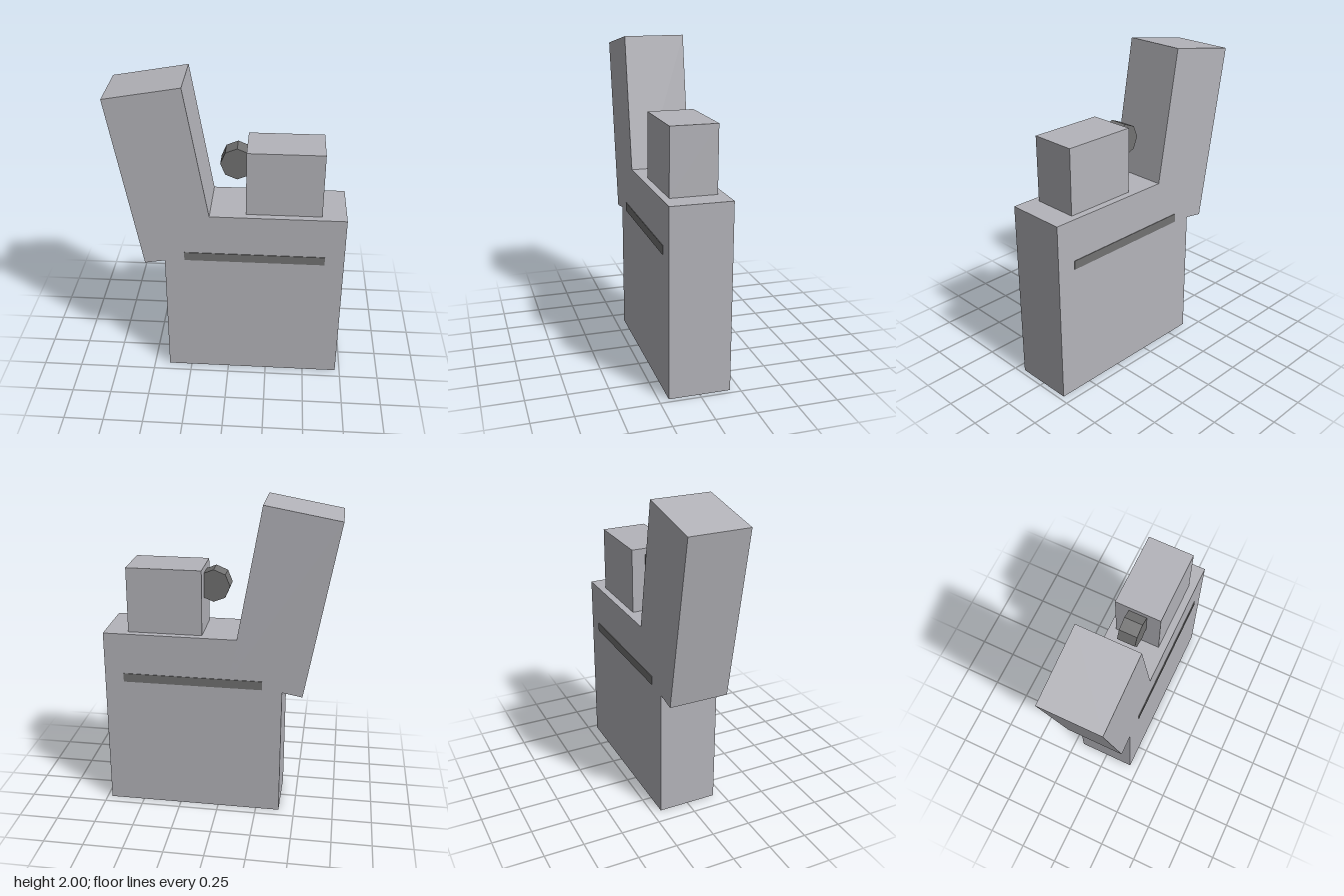
import * as THREE from 'three';

export function createModel() {
  const model = new THREE.Group();
  model.name = 'lighter';

  const steel = new THREE.MeshStandardMaterial({ color: 0xb4b4ba });
  steel.name = 'brushed steel';
  const darkSteel = new THREE.MeshStandardMaterial({ color: 0x727272 });
  darkSteel.name = 'dark steel';

  function add(name, geometry, material, x, y, z = 0) {
    const mesh = new THREE.Mesh(geometry, material);
    mesh.name = name;
    mesh.position.set(x, y, z);
    model.add(mesh);
    return mesh;
  }

  const depth = 0.38;

  // Lower case
  add('case', new THREE.BoxGeometry(1.12, 1.175, depth), steel, 0.16, 0.5875);

  // Open lid, tipped back on its hinge side
  const lid = add('lid', new THREE.BoxGeometry(0.466, 1.115, depth), steel, -0.394, 1.411);
  lid.rotation.z = THREE.MathUtils.degToRad(10);

  // Wick chimney
  add('chimney', new THREE.BoxGeometry(0.465, 0.412, 0.29), steel, 0.3375, 1.381);

  // Eight-sided striker wheel, axle along z, with corners on its axes
  const wheelGeometry = new THREE.CylinderGeometry(0.102, 0.102, 0.115, 8).toNonIndexed();
  wheelGeometry.rotateX(Math.PI / 2);
  wheelGeometry.computeVertexNormals();
  add('strikerWheel', wheelGeometry, darkSteel, 0.045, 1.47);

  // Thin seam strips on front and back
  for (const side of [1, -1]) {
    add(side > 0 ? 'frontSeam' : 'backSeam',
      new THREE.BoxGeometry(0.876, 0.056, 0.006), darkSteel, 0.162, 0.883, side * (depth / 2 + 0.001));
  }

  return model;
}
